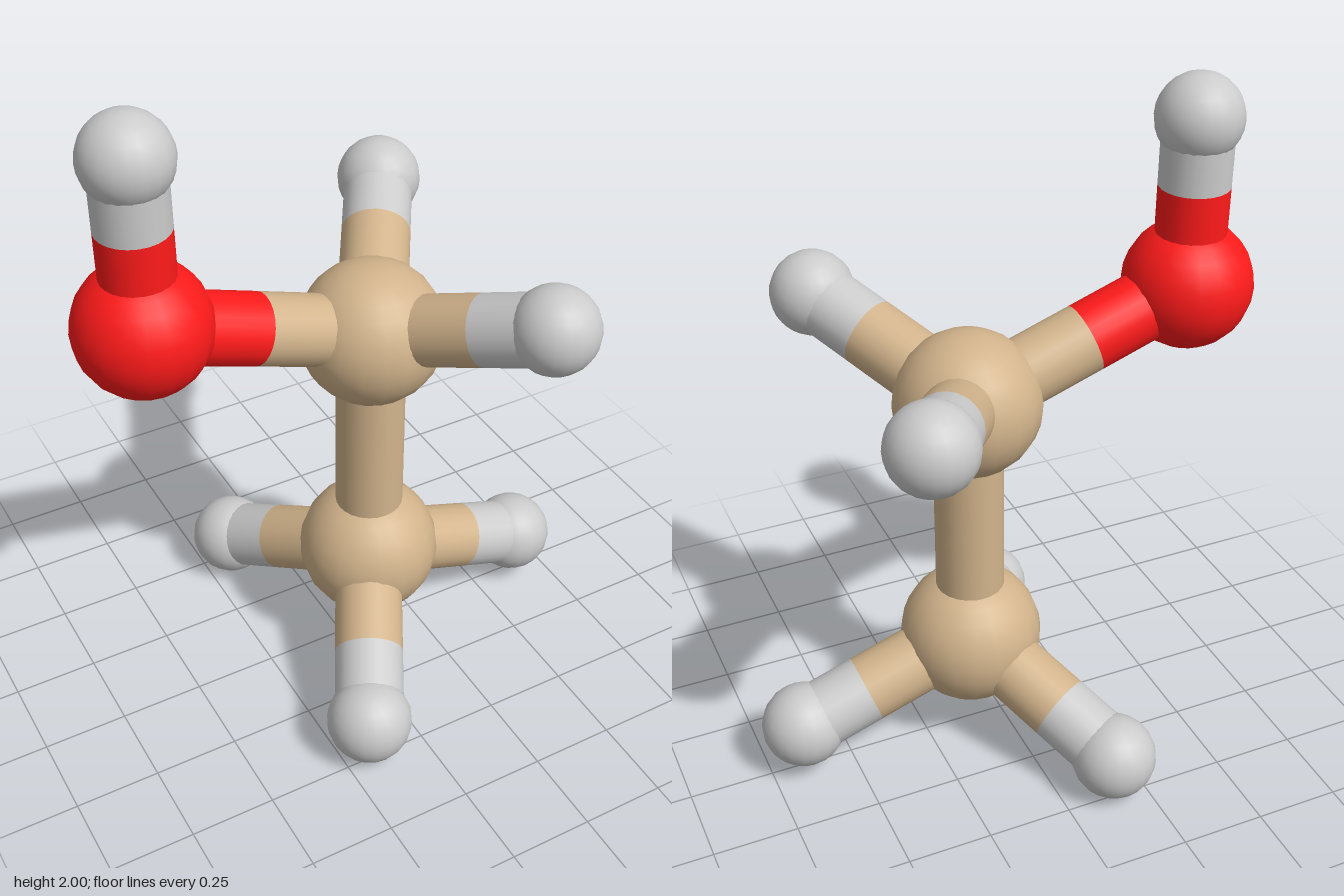
import * as THREE from 'three';

const BOND_RADIUS = 0.102;

export function createModel() {
  const model = new THREE.Group();
  model.name = 'moleculeModel';

  const paint = (color) => new THREE.MeshStandardMaterial({ color });
  const carbon = { name: 'carbon', radius: 0.213, material: paint(0xd2b48c) };
  const oxygen = { name: 'oxygen', radius: 0.19, material: paint(0xff1a1a) };
  const hydrogen = { name: 'hydrogen', radius: 0.125, material: paint(0xcccccc) };

  // Ball for one atom
  function addAtom(kind, label, x, y, z) {
    const mesh = new THREE.Mesh(new THREE.SphereGeometry(kind.radius, 20, 14), kind.material);
    mesh.name = `${label}Atom`;
    mesh.position.set(x, y, z);
    model.add(mesh);
    return { kind, label, position: mesh.position };
  }

  // Half of a bond: a rod between two points
  function addRod(name, from, to, material) {
    const along = to.clone().sub(from);
    const rod = new THREE.Mesh(
      new THREE.CylinderGeometry(BOND_RADIUS, BOND_RADIUS, along.length(), 24, 1, true), material);
    rod.name = name;
    rod.position.copy(from).add(to).multiplyScalar(0.5);
    rod.quaternion.setFromUnitVectors(new THREE.Vector3(0, 1, 0), along.normalize());
    model.add(rod);
  }

  // Two-coloured bond, divided in proportion to the atom radii
  function addBond(a, b) {
    const share = a.kind.radius / (a.kind.radius + b.kind.radius);
    const split = a.position.clone().lerp(b.position, share);
    const name = `${a.label}To${b.label}Bond`;
    addRod(`${name}Start`, a.position, split, a.kind.material);
    addRod(`${name}End`, split, b.position, b.kind.material);
  }

  // Backbone
  const lower = addAtom(carbon, 'lowerCarbon', 0.098, 0.347, 0);
  const upper = addAtom(carbon, 'upperCarbon', 0.098, 1.146, 0);
  const oxy = addAtom(oxygen, 'oxygen', -0.582, 1.384, 0);
  addBond(lower, upper);
  addBond(upper, oxy);

  // Single hydrogens in the middle plane
  addBond(oxy, addAtom(hydrogen, 'topHydrogen', -0.588, 1.875, 0));
  addBond(lower, addAtom(hydrogen, 'lowerLeftHydrogen', 0.64, 0.162, 0));

  // Hydrogens mirrored front and back
  for (const [side, s] of [['Front', 1], ['Back', -1]]) {
    addBond(upper, addAtom(hydrogen, `upper${side}Hydrogen`, 0.386, 1.334, s * 0.465));
    addBond(lower, addAtom(hydrogen, `lower${side}Hydrogen`, -0.16, 0.13, s * 0.465));
  }
  return model;
}
